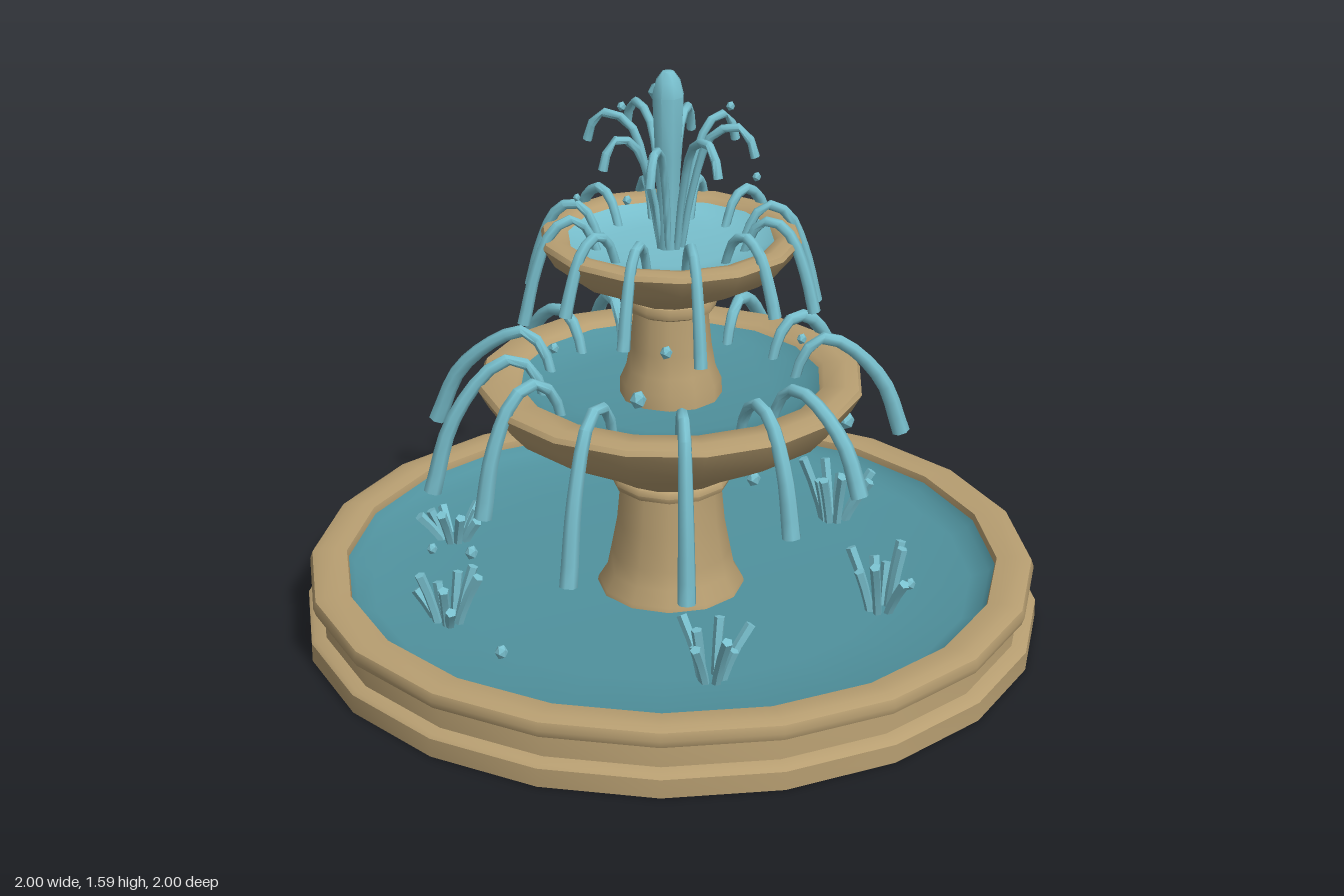
import * as THREE from 'three';
import { toCreasedNormals, mergeGeometries } from 'three/addons/utils/BufferGeometryUtils.js';

const CX = -0.01, CZ = 0.01; // axis of the tiers
const { lerp, clamp } = THREE.MathUtils;

function seeded(seed) {
  return () => {
    seed = (seed * 16807) % 2147483647;
    return seed / 2147483647;
  };
}

// Turned shape from a list of [radius, height]
function turned(profile, sides, grow = 1) {
  const pts = profile.map(([r, y]) => new THREE.Vector2(r * grow, y));
  return toCreasedNormals(new THREE.LatheGeometry(pts, sides, Math.PI / sides), 0.8);
}

// Tapered water stream; the first and last rings close the ends
function stream(points, r0, r1, segments = 13, sides = 7) {
  const curve = new THREE.CatmullRomCurve3(points);
  const geo = new THREE.TubeGeometry(curve, segments, 1, sides, false);
  const pos = geo.attributes.position, v = new THREE.Vector3();
  for (let i = 0; i <= segments; i++) {
    const t = clamp((i - 1) / (segments - 2), 0, 1);
    const r = i === 0 || i === segments ? 0 : lerp(r0, r1, t);
    const from = curve.getPointAt(i / segments), to = curve.getPointAt(t);
    for (let k = i * (sides + 1); k < (i + 1) * (sides + 1); k++) {
      v.fromBufferAttribute(pos, k).sub(from).multiplyScalar(r).add(to);
      pos.setXYZ(k, v.x, v.y, v.z);
    }
  }
  return toCreasedNormals(geo, 0.95);
}

// Arc leaving the axis in one direction; steps are [distance, height]
function arc(angle, steps, r0, r1) {
  const c = Math.cos(angle), s = Math.sin(angle);
  return stream(steps.map(([d, y]) => new THREE.Vector3(CX + c * d, y, CZ + s * d)), r0, r1);
}

export function createModel() {
  const group = new THREE.Group();
  const stone = new THREE.MeshStandardMaterial({ color: 0xb79e71 });
  const pool = new THREE.MeshStandardMaterial({ color: 0x50929e, side: THREE.DoubleSide });
  const water = new THREE.MeshStandardMaterial({ color: 0x78bfcd, side: THREE.DoubleSide });
  stone.name = 'sandstone';
  pool.name = 'pool water';
  water.name = 'spray water';
  const rand = seeded(4711);

  function add(name, geo, mat, x = CX, z = CZ) {
    const mesh = new THREE.Mesh(geo, mat);
    mesh.name = name;
    mesh.position.set(x, 0, z);
    group.add(mesh);
  }

  // Basin wall: flared underside, grooved outside, rounded rim
  add('basin', turned([
    [0.885, 0.16], [0.89, 0.105], [0.92, 0.05], [0.965, 0], [1, 0], [1, 0.052], [0.99, 0.06], [0.96, 0.066],
    [0.955, 0.125], [0.985, 0.135], [0.992, 0.155], [0.985, 0.176], [0.96, 0.185], [0.92, 0.185],
    [0.89, 0.18], [0.885, 0.16],
  ], 20, 1.0125), stone, 0, 0);
  add('basinWater', turned([[0.89, 0.168], [0.87, 0.14], [0.82, 0.122], [0.6, 0.11], [0, 0.107]], 20, 1.0125),
    pool, 0, 0);

  // Lower pedestal and bowl
  add('lowerPedestal', turned([
    [0.19, 0.095], [0.205, 0.095], [0.2, 0.12], [0.175, 0.16], [0.165, 0.21], [0.148, 0.3], [0.138, 0.41],
    [0.16, 0.415], [0.166, 0.43], [0.16, 0.445], [0.14, 0.455],
  ], 12), stone);
  add('lowerBowl', turned([
    [0.13, 0.445], [0.16, 0.45], [0.25, 0.505], [0.37, 0.57], [0.45, 0.615], [0.495, 0.665],
    [0.523, 0.715], [0.515, 0.728], [0.48, 0.735], [0.42, 0.732], [0.4, 0.71], [0.34, 0.64], [0, 0.61],
  ], 16), stone);
  add('lowerBowlWater', turned([[0.41, 0.72], [0.37, 0.695], [0.28, 0.68], [0, 0.675]], 16), pool);

  // Upper pedestal and bowl
  add('upperPedestal', turned([
    [0.14, 0.62], [0.137, 0.72], [0.12, 0.76], [0.11, 0.82], [0.1, 0.92], [0.12, 0.93],
    [0.124, 0.945], [0.12, 0.96], [0.1, 0.97],
  ], 12), stone);
  add('upperBowl', turned([
    [0.09, 0.96], [0.125, 0.965], [0.19, 1.0], [0.275, 1.04], [0.32, 1.075], [0.35, 1.125],
    [0.343, 1.138], [0.315, 1.144], [0.288, 1.138], [0.27, 1.12], [0.22, 1.06], [0, 1.04],
  ], 14), stone);
  add('upperBowlWater', turned([[0.28, 1.128], [0.24, 1.109], [0.16, 1.1], [0, 1.098]], 14), water);

  // Central jet
  add('centralJet', turned([
    [0.032, 1.08], [0.03, 1.2], [0.036, 1.35], [0.044, 1.52], [0.034, 1.56], [0.016, 1.585], [0, 1.588],
  ], 8), water, CX - 0.01);

  // Thin arcs rising around the jet
  const sprays = [];
  for (let i = 0; i < 8; i++) {
    const reach = 0.2 + 0.04 * rand(), top = 1.41 + 0.05 * rand();
    sprays.push(arc((i + 0.27) * Math.PI / 4, [[0.03, 1.1], [0.06, 1.27], [0.11, top - 0.03],
      [reach * 0.78, top], [reach * 0.92, top - 0.025], [reach, top - 0.08]], 0.009, 0.013));
  }
  add('jetSprays', mergeGeometries(sprays), water, 0, 0);

  // Streams over the upper rim
  const upper = [];
  for (let i = 0; i < 12; i++) {
    const end = [0.91, 0.95, 1.0][i % 3], reach = 0.4 - (end - 0.91) * 0.2;
    upper.push(arc((i + 0.9 + 0.2 * rand()) * Math.PI / 6, [[0.2, 1.1], [0.23, 1.17], [0.27, 1.195],
      [0.32, 1.165], [0.365, 1.06], [reach, end]], 0.012, 0.018));
  }
  add('upperStreams', mergeGeometries(upper), water, 0, 0);

  // Streams over the lower rim, by the [x, y, z] where each one ends
  const falls = [
    [-0.03, 0.5, -0.615], [0.23, 0.33, -0.62], [0.44, 0.33, -0.39], [0.585, 0.52, -0.2], [0.567, 0.54, 0.09],
    [0.545, 0.5, 0.35], [0.07, 0.55, 0.64], [-0.13, 0.48, 0.59], [-0.38, 0.33, 0.46], [-0.575, 0.36, 0.22],
    [-0.59, 0.45, -0.1], [-0.54, 0.42, -0.37], [-0.33, 0.5, -0.6],
  ];
  add('lowerStreams', mergeGeometries(falls.map(([x, y, z]) => {
    const reach = Math.hypot(x - CX, z - CZ);
    return arc(Math.atan2(z - CZ, x - CX), [[0.345, 0.68], [0.37, 0.755], [0.42, 0.797], [0.485, 0.775],
      [lerp(0.485, reach, 0.65), lerp(0.775, y, 0.42)], [reach, y]], 0.014, 0.025);
  })), water, 0, 0);

  // Splash crowns in the basin: [x, z, tallest spike]
  const splashes = [[-0.28, -0.6, 0.24], [0.34, -0.51, 0.24], [0.6, 0.05, 0.3], [0.28, 0.53, 0.3],
    [-0.33, 0.5, 0.29], [-0.62, -0.22, 0.27]];
  const spikes = [];
  for (const [x, z, tallest] of splashes) {
    for (let i = 0; i < 8; i++) {
      const a = i * 0.785 + rand() * 0.6, lean = 0.02 + 0.07 * rand(), top = tallest - 0.1 * rand();
      const at = (d, y) => new THREE.Vector3(x + Math.cos(a) * d, y, z + Math.sin(a) * d);
      spikes.push(stream([at(0.025, 0.085), at(0.025 + lean * 0.4, (top + 0.085) / 2), at(0.025 + lean, top)],
        0.012, 0.015, 5, 5));
    }
  }
  add('splashes', mergeGeometries(spikes), water, 0, 0);

  // Loose drops: [x, y, z, size]
  const drops = [
    [-0.4, 0.86, 0.3, 0.022], [0.25, 0.87, -0.16, 0.026], [0.34, 0.88, -0.35, 0.022], [-0.15, 0.87, 0.14, 0.017],
    [0.57, 0.45, 0.12, 0.024], [-0.55, 0.3, -0.2, 0.018], [0.6, 0.38, 0.0, 0.015], [0.13, 1.45, -0.19, 0.026],
    [-0.25, 1.31, 0.1, 0.012], [0.2, 1.27, 0.12, 0.012], [-0.13, 1.5, -0.05, 0.012], [0.12, 1.48, 0.1, 0.012],
    [-0.2, 1.24, -0.15, 0.01], [0.66, 0.16, -0.33, 0.018], [-0.68, 0.15, 0.07, 0.018], [0.39, 0.15, 0.54, 0.016],
    [-0.42, 0.15, -0.53, 0.015], [0.12, 0.44, 0.2, 0.02], [0.3, 0.8, 0.2, 0.014], [-0.2, 0.78, -0.25, 0.014],
  ];
  add('drops', mergeGeometries(drops.map(([x, y, z, r]) =>
    new THREE.IcosahedronGeometry(r, 0).scale(1, 1.15, 1).translate(x, y, z))), water, 0, 0);

  return group;
}
